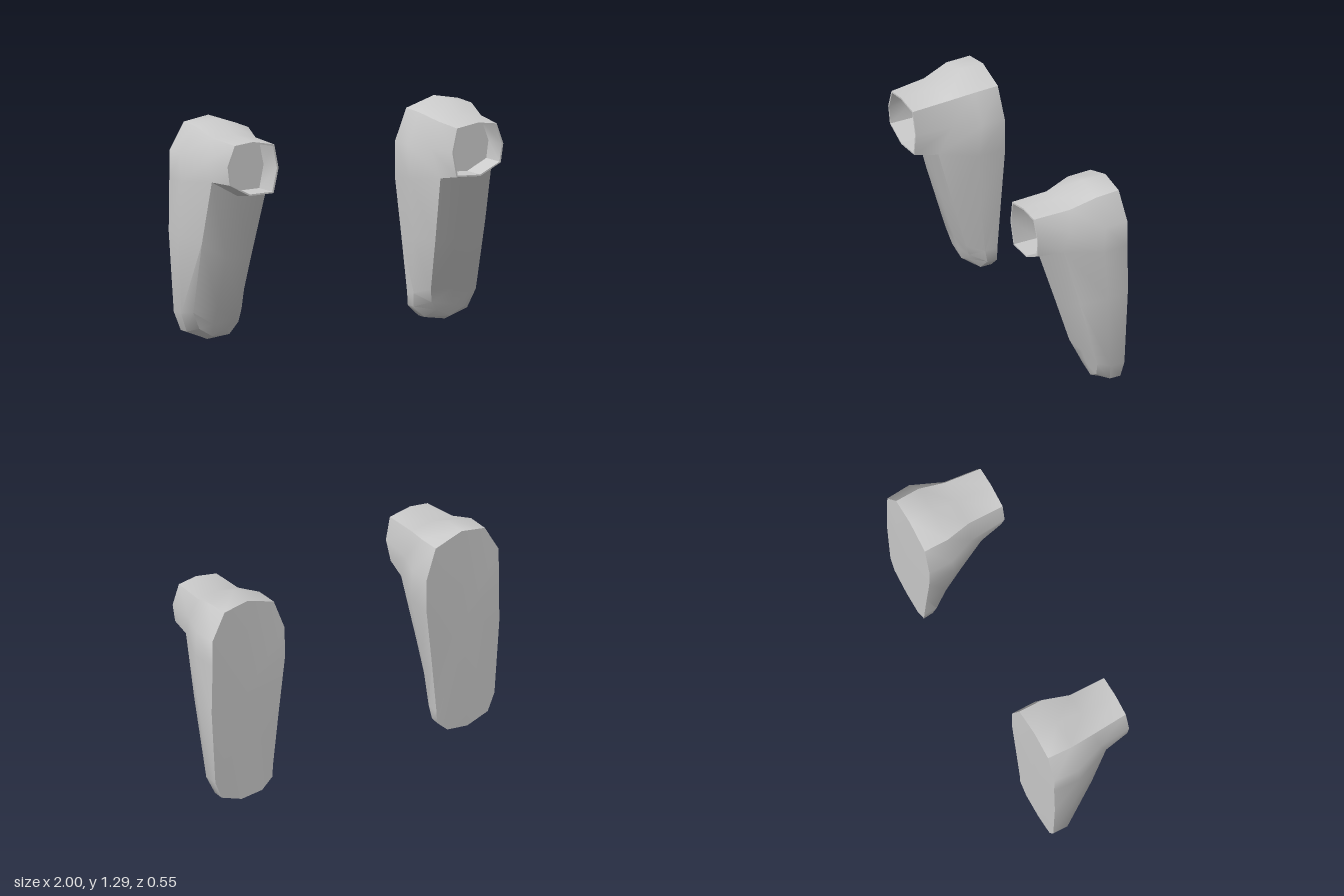
import * as THREE from 'three';
import { toCreasedNormals } from 'three/addons/utils/BufferGeometryUtils.js';

// Loops of one foot, each starting at the heel top and running down the inner side,
// round the toe and back up the outer side.
const sole = [
  [.74, 1.3, -.26], [.56, 1.24, -.26], [.49, 1.05, -.268], [.49, .85, -.27], [.53, .5, -.265],
  [.565, .17, -.26], [.57, .09, -.26], [.64, .025, -.26], [.78, .008, -.258], [.92, .06, -.26],
  [.965, .17, -.262], [.995, .64, -.268], [.99, .95, -.27], [.99, 1.11, -.268], [.9, 1.272, -.26],
];
const welt = [
  [.74, 1.3, -.11], [.56, 1.235, -.11], [.49, 1.05, -.12], [.495, .85, -.1], [.54, .5, -.14],
  [.565, .17, -.18], [.575, .09, -.2], [.64, .025, -.19], [.78, .005, -.2], [.92, .06, -.19],
  [.967, .17, -.17], [1, .64, -.14], [1, .95, -.11], [1, 1.11, -.12], [.905, 1.265, -.11],
];
const upper = [
  [.74, 1.225, .05], [.6, 1.2, .05], [.55, 1.05, .04], [.575, .88, .12], [.605, .5, .005],
  [.625, .2, -.085], [.65, .12, -.12], [.69, .07, -.135], [.78, .03, -.14], [.87, .08, -.13],
  [.92, .18, -.11], [.93, .6, .01], [.92, .97, .11], [.925, 1.09, .07], [.88, 1.215, .05],
];
// Ridge down the middle of the instep
const ridge = [[.757, .88, .12], [.765, .5, .005], [.775, .2, -.085], [.78, .1, -.12]];
// Rim of the ankle opening
const rim = [
  [.74, 1.215, .275], [.6, 1.19, .274], [.57, 1.05, .27], [.6, .905, .265],
  [.757, .9, .265], [.89, .97, .267], [.905, 1.08, .27], [.86, 1.2, .273],
];

// Collects triangles; side = -1 mirrors them across x
function builder(side) {
  const pos = [];
  const tri = (a, b, c) => {
    for (const p of side > 0 ? [a, b, c] : [a, c, b]) pos.push(p[0] * side, p[1], p[2]);
  };
  const strip = (a, b, closed) => {
    const n = a.length;
    for (let j = 0; j < (closed ? n : n - 1); j++) {
      const k = (j + 1) % n;
      tri(a[j], a[k], b[k]);
      tri(a[j], b[k], b[j]);
    }
  };
  const cap = (ring, center, front) => ring.forEach((p, j) => {
    const q = ring[(j + 1) % ring.length];
    front ? tri(center, p, q) : tri(center, q, p);
  });
  const mesh = (name, crease) => {
    const g = new THREE.BufferGeometry();
    g.setAttribute('position', new THREE.Float32BufferAttribute(pos, 3));
    const m = new THREE.Mesh(toCreasedNormals(g, crease), new THREE.MeshStandardMaterial({ color: 0xcccccc }));
    m.name = name;
    return m;
  };
  return { tri, strip, cap, mesh };
}

function makeFoot(side, name) {
  const foot = new THREE.Group();
  foot.name = name;

  // Flat sole
  const s = builder(side);
  s.cap(sole, [.75, .7, -.268], false);
  foot.add(s.mesh('sole', 0.5));

  // Sides, instep and ankle
  const b = builder(side);
  b.strip(sole, welt, true);
  b.strip(welt, upper, true);
  const U = upper;
  const rows = [[3, 12], [4, 11], [5, 10], [6, 9]].map(([i, o], r) => [U[i], ridge[r], U[o]]);
  for (let r = 0; r < 3; r++) b.strip(rows[r + 1], rows[r], false);
  for (let j = 6; j < 9; j++) b.tri(ridge[3], U[j], U[j + 1]);
  const ankle = [U[0], U[1], U[2], U[3], ridge[0], U[12], U[13], U[14]];
  b.strip(ankle, rim, true);
  foot.add(b.mesh('upper', 0.75));

  // Thin lip and recessed ankle opening
  const c = builder(side);
  const inset = (z) => rim.map((p) => [.745 + (p[0] - .745) * .94, 1.05 + (p[1] - 1.05) * .94, z ?? p[2]]);
  const lip = inset(), floor = inset(.11);
  c.strip(rim, lip, true);
  c.strip(lip, floor, true);
  c.cap(floor, [.745, 1.05, .11], true);
  foot.add(c.mesh('ankleOpening', 0.5));
  return foot;
}

export function createModel() {
  const model = new THREE.Group();
  model.name = 'feet';
  model.add(makeFoot(1, 'leftFoot'), makeFoot(-1, 'rightFoot'));
  return model;
}
